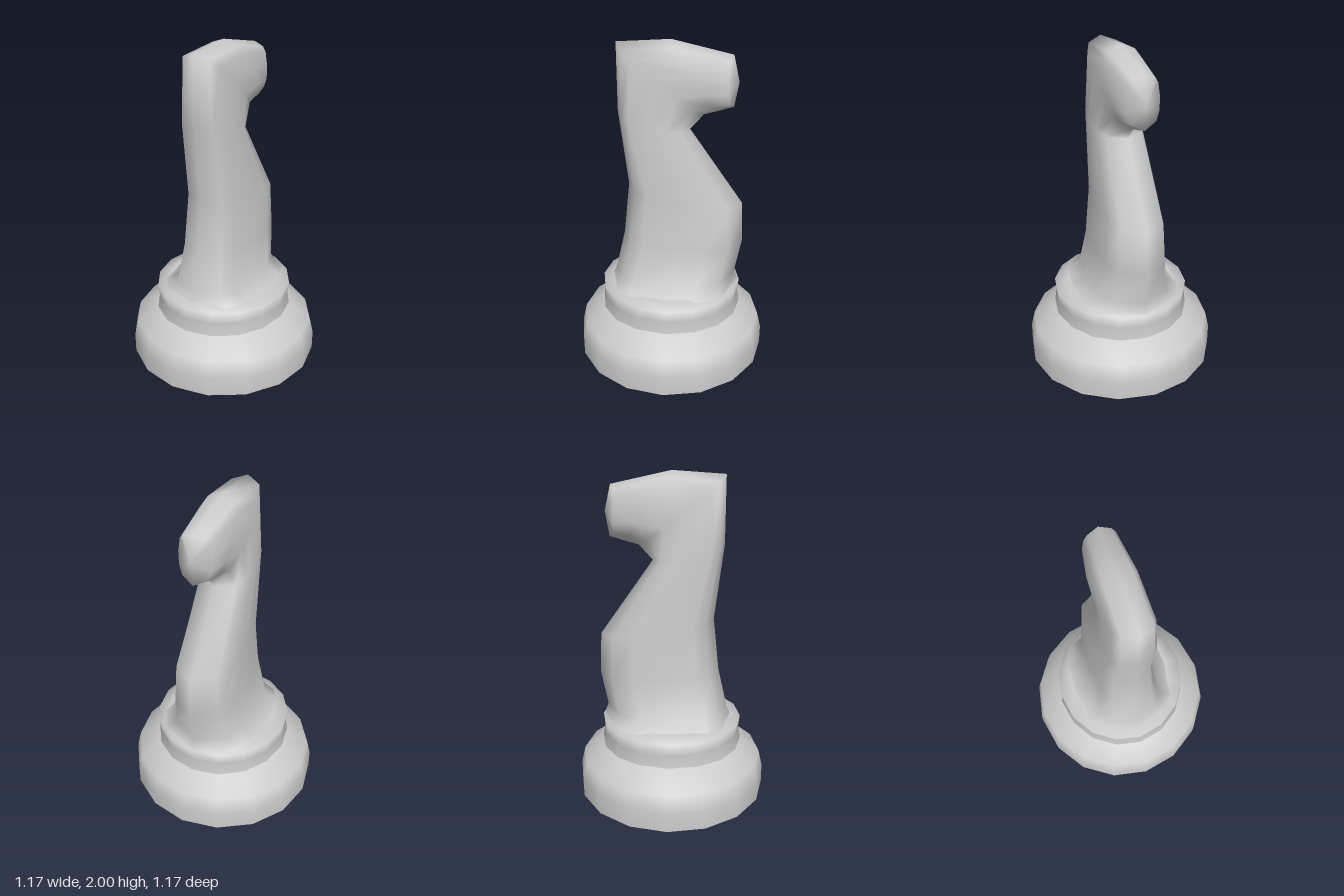
import * as THREE from 'three';

const material = new THREE.MeshStandardMaterial({ color: 0xcccccc });

// Turned part with 16 sides from [radius, height] pairs
function turned(name, profile) {
  const points = profile.map(([r, y]) => new THREE.Vector2(r, y));
  const mesh = new THREE.Mesh(new THREE.LatheGeometry(points, 16), material);
  mesh.name = name;
  return mesh;
}

// Half of a cross-section: [position from back to front, share of the half width]
const half = [[0, 0], [0.07, 0.66], [0.18, 0.87], [0.45, 1], [0.7, 0.96], [0.88, 0.75], [1, 0]];
const section = [...half, ...half.slice(1, -1).reverse().map(([t, w]) => [t, -w])];

// Cross-sections from neck to muzzle: back z, back y, front z, front y, half width, side set-back
const rings = [
  [0.37, 0.485, -0.42, 0.485, 0.33, 0],
  [0.345, 0.545, -0.40, 0.545, 0.23, 0],
  [0.29, 0.79, -0.44, 0.76, 0.195, 0],
  [0.255, 1.12, -0.43, 1.015, 0.175, 0],
  [0.31, 1.58, -0.11, 1.48, 0.148, 0],
  [0.31, 1.98, -0.19, 1.57, 0.13, 0],
  [0, 2.0, -0.28, 1.595, 0.125, 0],
  [-0.35, 1.92, -0.36, 1.62, 0.1, 0.03],
];

function horseGeometry() {
  const positions = [], index = [], n = section.length;
  for (const [bz, by, fz, fy, w, back] of rings) {
    for (const [t, s] of section) {
      positions.push(s * w, by + (fy - by) * t, bz + (fz - bz) * t + back * Math.abs(s));
    }
  }
  // Tip of the muzzle
  positions.push(0, 1.765, -0.385);
  const tip = rings.length * n;
  for (let i = 0; i < rings.length; i++) {
    for (let j = 0; j < n; j++) {
      const a = i * n + j, b = i * n + (j + 1) % n;
      if (i === rings.length - 1) index.push(a, b, tip);
      else index.push(a, b, b + n, a, b + n, a + n);
    }
  }
  const geometry = new THREE.BufferGeometry();
  geometry.setAttribute('position', new THREE.Float32BufferAttribute(positions, 3));
  geometry.setIndex(index);
  geometry.computeVertexNormals();
  return geometry;
}

export function createModel() {
  const group = new THREE.Group();
  group.name = 'chessKnight';

  // Wide foot
  group.add(turned('foot', [[0.585, 0], [0.585, 0.12], [0.56, 0.225], [0.42, 0.325], [0.36, 0.34]]));

  // Flat underside
  const underside = new THREE.Mesh(new THREE.CircleGeometry(0.585, 16), material);
  underside.rotation.x = Math.PI / 2;
  underside.name = 'underside';
  group.add(underside);

  // Slightly oval collar
  const collar = turned('collar', [[0.42, 0.32], [0.408, 0.4], [0.415, 0.475], [0.33, 0.495], [0, 0.5]]);
  collar.scale.z = 1.04;
  group.add(collar);

  // Neck and head in one smooth skin
  const horse = new THREE.Mesh(horseGeometry(), material);
  horse.name = 'neckAndHead';
  group.add(horse);

  return group;
}
